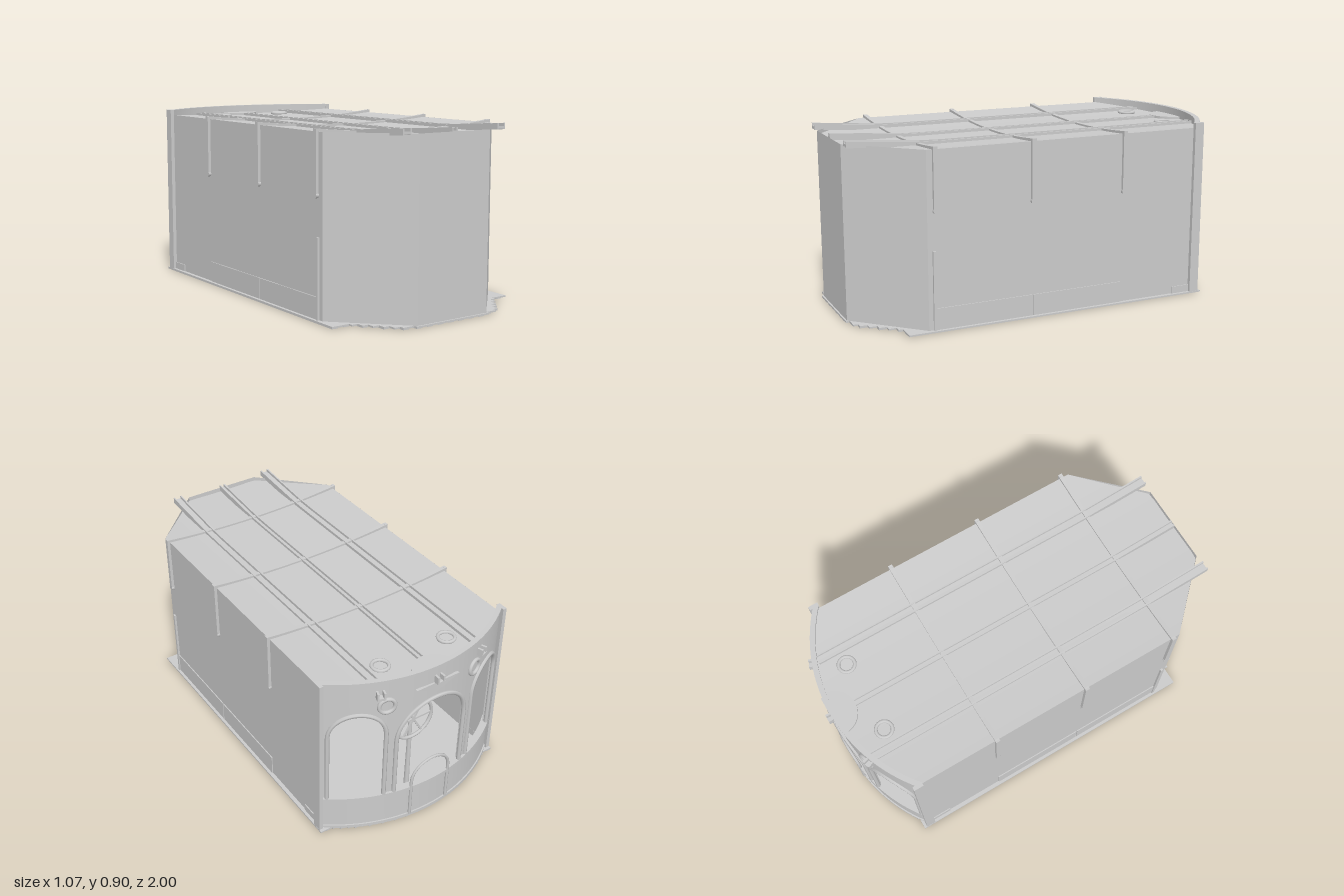
import * as THREE from 'three';
import { toCreasedNormals } from 'three/addons/utils/BufferGeometryUtils.js';

const R = 0.834, ZC = -0.136, HALF = 0.57; // curved back wall: radius, centre, half arc length
const mat = new THREE.MeshStandardMaterial({ color: 0xcccccc, side: THREE.DoubleSide });

// Point on the back wall from arc length u, height y and radius r
const onArc = (u, y, r = R) =>
  new THREE.Vector3(r * Math.sin(u / R), y, ZC - r * Math.cos(u / R));
const arcZ = (x) => ZC - Math.sqrt(R * R - x * x);

// Surface through rows of points; closed joins the ends of each row into a tube with caps
function loft(rows, closed = true) {
  const pos = [];
  const quad = (a, b, c, d) => [a, b, c, a, c, d].forEach((p) => pos.push(p.x, p.y, p.z));
  for (let i = 0; i + 1 < rows.length; i++) {
    const n = rows[i].length;
    for (let j = 0; j < (closed ? n : n - 1); j++) {
      const k = (j + 1) % n;
      quad(rows[i][j], rows[i][k], rows[i + 1][k], rows[i + 1][j]);
    }
  }
  if (closed) {
    quad(...rows[0].slice().reverse());
    quad(...rows[rows.length - 1]);
  }
  const g = new THREE.BufferGeometry();
  g.setAttribute('position', new THREE.Float32BufferAttribute(pos, 3));
  return toCreasedNormals(g, 0.5);
}

const v = (x, y, z) => new THREE.Vector3(x, y, z);
const range = (n, a, b) => Array.from({ length: n + 1 }, (_, i) => a + ((b - a) * i) / n);

export function createModel() {
  const model = new THREE.Group();
  const add = (name, geo, x = 0, y = 0, z = 0, parent = model) => {
    const m = new THREE.Mesh(geo, mat);
    m.name = name;
    m.position.set(x, y, z);
    parent.add(m);
    return m;
  };
  const box = (name, w, h, d, x, y, z) => add(name, new THREE.BoxGeometry(w, h, d), x, y, z);
  const tube = (name, pts, r, n = 48) =>
    add(name, new THREE.TubeGeometry(new THREE.CatmullRomCurve3(pts), n, r, 6));

  // Floor planks with stepped front ends and a curved back end
  const planks = 34, pitch = 1.07 / planks;
  for (let i = 0; i < planks; i++) {
    const x = -0.535 + (i + 0.5) * pitch, ax = Math.abs(x);
    let front = ax > 0.43 ? 0.785 : Math.min(0.98, 0.8 + (0.43 - ax) * 1.2);
    if (ax < 0.23) front = 0.998;
    const back = Math.min(-0.83, arcZ(x) - 0.005);
    const h = i % 2 ? 0.008 : 0.011;
    box('floorPlank', pitch, h, front - back, x, 0.012 - h / 2, (front + back) / 2);
  }

  // Side walls and the three-sided front wall
  const plan = [[-0.515, -0.785], [-0.515, 0.68], [-0.21, 0.99], [0.21, 0.99], [0.515, 0.68], [0.515, -0.785]];
  add('walls', loft(plan.map(([x, z]) => [v(x, 0.008, z), v(x, 0.878, z)]), false));

  // Slightly sagging roof, clipped by the plan
  const roofY = (x) => 0.854 + 0.09 * x * x;
  add('roof', loft(range(24, -0.515, 0.515).map((x) => {
    const front = Math.min(0.99, 0.68 + ((0.515 - Math.abs(x)) * 0.31) / 0.305);
    return [v(x, roofY(x), arcZ(x) + 0.01), v(x, roofY(x), front)];
  }), false));

  // Curved cross beams and the straps that hang from their ends
  for (const z of [0.64, 0.14, -0.36]) {
    add('crossBeam', loft(range(24, -0.53, 0.53).map((x) => {
      const t = 0.863 + 0.107 * x * x;
      return [v(x, t, z - 0.011), v(x, t, z + 0.011), v(x, t - 0.035, z + 0.011), v(x, t - 0.035, z - 0.011)];
    })));
    for (const s of [-1, 1]) {
      box('wallStrap', 0.016, 0.3, 0.022, s * 0.522, 0.742, z);
      const foot = add('strapFoot', new THREE.CylinderGeometry(0.014, 0.014, 0.02, 12), s * 0.52, 0.59, z);
      foot.rotation.z = Math.PI / 2;
    }
  }

  // Lengthwise beams: two rails on a plate, rising at the front
  const beamTop = (z) => 0.875 + (z > 0.6 ? 0.03 * ((z - 0.6) / 0.4) : 0);
  const beam = (name, x, w, h, drop, z0, z1) =>
    add(name, loft(range(16, z0, z1).map((z) => {
      const t = beamTop(z) - drop;
      return [v(x - w / 2, t, z), v(x + w / 2, t, z), v(x + w / 2, t - h, z), v(x - w / 2, t - h, z)];
    })));
  for (const [x, w, drop, z1] of [[-0.28, 0.04, 0, 0.99], [0, 0.026, 0.008, 0.985], [0.28, 0.04, 0, 0.99]]) {
    const z0 = arcZ(x) + 0.02;
    beam('beamPlate', x, w, 0.012, drop + 0.014, z0, z1);
    for (const s of [-1, 1]) beam('beamRail', x + (s * w) / 2, 0.008, 0.03, drop, z0, z1);
  }

  // Back wall: band under the windows, and the part above with three arched openings
  const windows = [[-0.388, 0.136], [0, 0.2], [0.388, 0.136]], sill = 0.2, crown = 0.72;
  const archY = (d, r) => crown - r + Math.sqrt(Math.max(0, r * r - d * d));
  const section = (u, lo, hi, r0, r1) =>
    [onArc(u, lo, r0), onArc(u, lo, r1), onArc(u, hi, r1), onArc(u, hi, r0)];
  const upper = [section(-HALF, sill, 0.905, R - 0.016, R)];
  for (const [c, r] of windows) {
    upper.push(section(c - r, sill, 0.905, R - 0.016, R));
    for (const a of range(24, Math.PI, 0))
      upper.push(section(c + r * Math.cos(a), archY(r * Math.cos(a), r), 0.905, R - 0.016, R));
    upper.push(section(c + r, sill, 0.905, R - 0.016, R));
  }
  upper.push(section(HALF, sill, 0.905, R - 0.016, R));
  add('backWall', loft(upper));
  const band = (name, lo, hi, r0, r1, a = -HALF, b = HALF) =>
    add(name, loft(range(40, a, b).map((u) => section(u, lo, hi, r0, r1))));
  band('sillBand', 0.008, sill, R - 0.016, R + 0.003);
  band('sillRail', sill - 0.012, sill + 0.006, R - 0.024, R + 0.012);
  band('footRail', 0.008, 0.025, R - 0.016, R + 0.01);
  band('topRail', 0.893, 0.905, R - 0.02, R + 0.006);

  // Window frames
  for (const [c, r] of windows) {
    const pts = range(5, sill, crown - r).slice(0, -1).map((y) => onArc(c - r, y, R + 0.002));
    for (const a of range(16, Math.PI, 0))
      pts.push(onArc(c + r * Math.cos(a), archY(r * Math.cos(a), r), R + 0.002));
    range(5, crown - r, sill).slice(1).forEach((y) => pts.push(onArc(c + r, y, R + 0.002)));
    tube('windowFrame', pts, 0.011, 64);
  }

  // Small arched gate in the middle of the back
  const gate = [onArc(-0.11, 0.02, R + 0.008), onArc(-0.11, 0.13, R + 0.008)];
  for (const a of range(12, Math.PI, 0))
    gate.push(onArc(0.11 * Math.cos(a), 0.235 + 0.11 * Math.sin(a), R + 0.008));
  gate.push(onArc(0.11, 0.13, R + 0.008), onArc(0.11, 0.02, R + 0.008));
  tube('gateFrame', gate, 0.008);

  // Fittings above the windows: round rims and brackets
  const mount = (name, geo, u, y, r) => {
    const p = onArc(u, y, r);
    add(name, geo, p.x, p.y, p.z).rotation.y = -u / R;
  };
  for (const u of [-0.255, 0.255])
    mount('portholeRim', new THREE.TorusGeometry(0.038, 0.01, 8, 24), u, 0.755, R + 0.003);
  for (const u of [-0.29, 0, 0.29]) {
    for (const s of [-1, 1])
      mount('bracketArm', new THREE.BoxGeometry(0.01, 0.036, 0.028), u + s * 0.015, 0.833, R + 0.015);
    mount('bracketBase', new THREE.BoxGeometry(0.04, 0.012, 0.028), u, 0.818, R + 0.015);
  }
  const crest = new THREE.Shape([[-0.12, 0.025], [0.12, 0.025], [0.04, -0.012], [0, -0.03], [-0.04, -0.012]]
    .map(([x, y]) => new THREE.Vector2(x, y)));
  mount('crestPlate', new THREE.ExtrudeGeometry(crest, { depth: 0.014, bevelEnabled: false }), 0, 0.785, R + 0.008);

  // Roof rings and the half-round ledge against the back wall
  for (const x of [-0.19, 0.19])
    add('roofRing', new THREE.TorusGeometry(0.04, 0.009, 8, 28).rotateX(Math.PI / 2), x, 0.862, -0.79);
  add('roofLedge', new THREE.CylinderGeometry(0.115, 0.115, 0.03, 24, 1, false, -Math.PI / 2, Math.PI), 0, 0.852, -0.96);

  // Corner posts, low side panels and front posts
  for (const s of [-1, 1]) {
    box('cornerPost', 0.02, 0.897, 0.05, s * 0.524, 0.4565, -0.79);
    for (const [z0, z1, h] of [[0.14, 0.66, 0.11], [-0.36, 0.14, 0.11], [-0.77, -0.66, 0.04]])
      box('sidePanel', 0.006, h, z1 - z0 - 0.006, s * 0.517, 0.008 + h / 2, (z0 + z1) / 2);
    box('frontPost', 0.014, 0.39, 0.014, s * 0.519, 0.203, 0.65);
  }

  // Wheel on a stand and a hanging lamp behind the middle window
  add('wheelStand', new THREE.CylinderGeometry(0.01, 0.014, 0.45, 10), 0, 0.235, -0.8);
  add('wheelRim', new THREE.TorusGeometry(0.11, 0.009, 8, 32), 0, 0.47, -0.82);
  for (const a of [0, 1, 2])
    add('wheelSpoke', new THREE.BoxGeometry(0.22, 0.01, 0.008), 0, 0.47, -0.82).rotation.z = (a * Math.PI) / 3;
  add('lampStem', new THREE.CylinderGeometry(0.006, 0.006, 0.12, 8), 0, 0.79, -0.72);
  add('lamp', new THREE.SphereGeometry(0.05, 20, 12), 0, 0.7, -0.72);

  return model;
}
